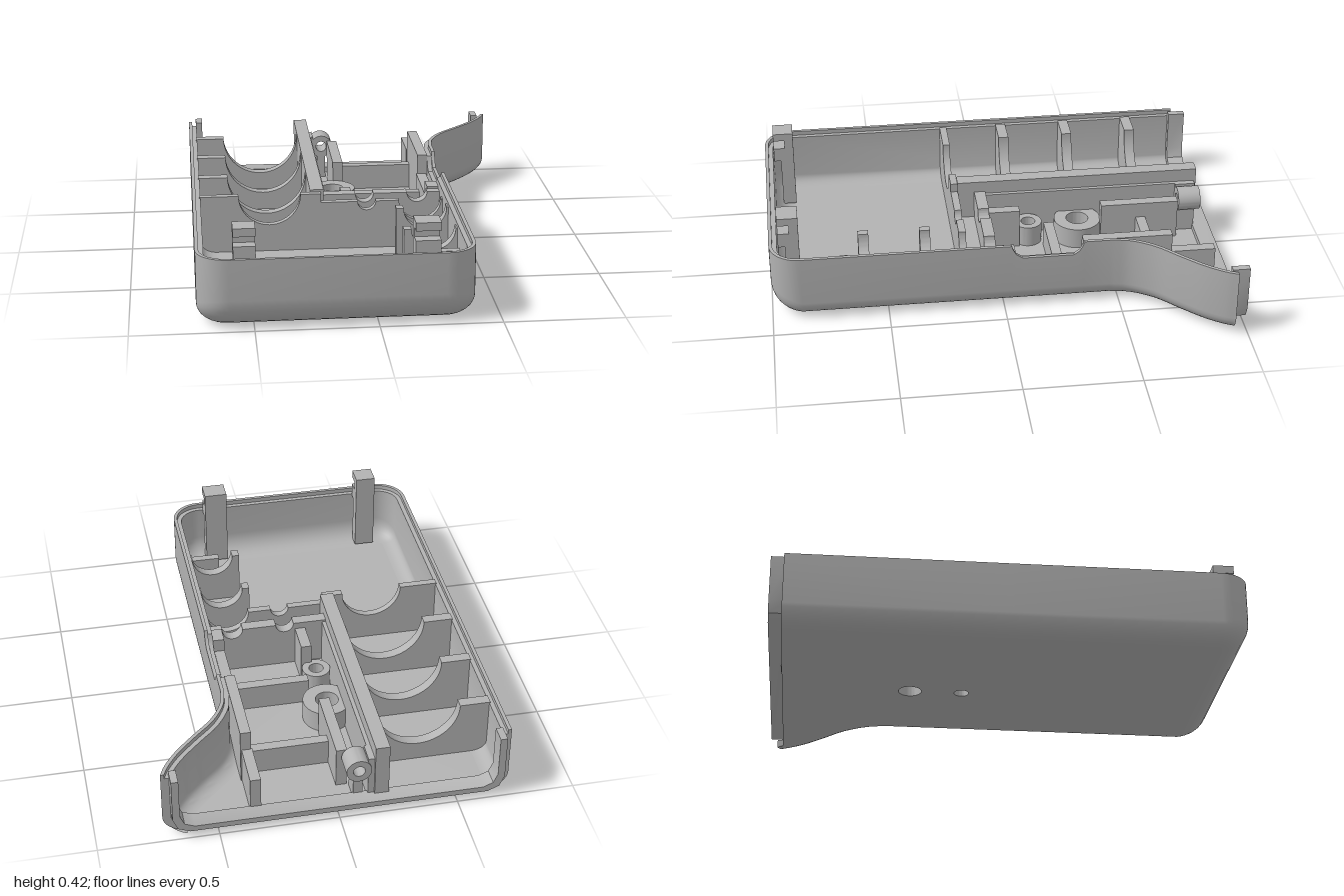
import * as THREE from 'three';
import { toCreasedNormals } from 'three/addons/utils/BufferGeometryUtils.js';

const H = 0.305, T = 0.035, BACK = -0.945;
const grey = new THREE.MeshStandardMaterial({ color: 0xb3b3b3 });
grey.name = 'grey plastic';

// Plan outline from back left, round the front, to the flared back right: [x, z, wall top]
function outline() {
  const pts = [], r = 0.13;
  const add = (x, z, top = H) => pts.push({ x, z, top });
  add(-0.73, BACK); add(-0.73, 0);
  for (let i = 0; i <= 10; i++) {
    const a = i / 10 * Math.PI / 2;
    add(-0.73 + r - r * Math.cos(a), 1 - r + r * Math.sin(a));
  }
  for (let i = 0; i <= 10; i++) {
    const a = i / 10 * Math.PI / 2;
    add(0.4 - r + r * Math.sin(a), 1 - r + r * Math.cos(a));
  }
  // finger notch in the right-hand wall
  add(0.4, -0.03); add(0.4, -0.037, 0.285); add(0.4, -0.05, 0.262); add(0.4, -0.08, 0.243);
  add(0.4, -0.3, 0.243); add(0.4, -0.325, 0.262); add(0.4, -0.338, 0.285); add(0.4, -0.345);
  // flare
  const flare = new THREE.CatmullRomCurve3([[0.4, -0.46], [0.415, -0.54], [0.47, -0.635], [0.56, -0.725],
    [0.65, -0.82], [0.705, -0.9], [0.725, BACK]].map(([x, z]) => new THREE.Vector3(x, 0, z)));
  for (const p of flare.getPoints(24)) add(p.x, p.z);
  return pts;
}

// Wall section as [inset, height]
function section(a, b, top) {
  const out = [], n = 8;
  for (let k = 0; k <= n; k++) {
    const t = k / n * Math.PI / 2;
    out.push([a * (1 - Math.sin(t)), b * (1 - Math.cos(t))]);
  }
  out.push([0, top], [0.015, top], [0.015, top - 0.02], [T, top - 0.02]);
  for (let k = n; k >= 0; k--) {
    const t = k / n * Math.PI / 2;
    out.push([T + (a - T) * (1 - Math.sin(t)), T + (b - T) * (1 - Math.cos(t))]);
  }
  return out;
}

function shellParts() {
  const path = outline(), pos = [], idx = [], floor = [];
  const last = path.length - 1;
  let m = 0;
  path.forEach((p, i) => {
    const a = path[Math.max(i - 1, 0)], b = path[Math.min(i + 1, last)];
    const unit = (u, v) => new THREE.Vector2(v.z - u.z, u.x - v.x).normalize();
    const inward = i === 0 ? new THREE.Vector2(1, 0) : i === last ? new THREE.Vector2(-1, 0)
      : unit(a, p).add(unit(p, b)).normalize();
    const front = p.z > 0.5 ? Math.max(0, -inward.y) : 0;
    const sec = section(0.1 + 0.025 * front, 0.08 + 0.05 * front, p.top);
    m = sec.length;
    for (const [d, y] of sec) pos.push(p.x + inward.x * d, y, p.z + inward.y * d);
    floor.push(new THREE.Vector2(p.x + inward.x * sec[0][0], -(p.z + inward.y * sec[0][0])));
  });
  for (let i = 0; i < last; i++) for (let j = 0; j < m - 1; j++) {
    const a = i * m + j, b = a + m;
    idx.push(a, b, a + 1, b, b + 1, a + 1);
  }
  // close the two cut ends at the back
  const flat = section(0.1, 0.08, H).map(([d, y]) => new THREE.Vector2(d, y));
  for (const f of THREE.ShapeUtils.triangulateShape(flat, [])) {
    const [p, q, r] = f;
    const ccw = THREE.ShapeUtils.area([flat[p], flat[q], flat[r]]) > 0;
    const [s, t] = ccw ? [r, q] : [q, r];
    const o = last * m;
    idx.push(p, s, t, o + p, o + t, o + s);
  }
  const wall = new THREE.BufferGeometry();
  wall.setAttribute('position', new THREE.Float32BufferAttribute(pos, 3));
  wall.setIndex(idx);
  // floor plate with two screw holes
  const shape = new THREE.Shape(floor);
  for (const [z, r] of [[-0.39, 0.05], [-0.165, 0.032]])
    shape.holes.push(new THREE.Path().absarc(-0.075, -z, r, 0, Math.PI * 2, true));
  const plate = new THREE.ExtrudeGeometry(shape, { depth: T, bevelEnabled: false, curveSegments: 24 });
  plate.rotateX(-Math.PI / 2);
  return [wall, plate];
}

export function createModel() {
  const group = new THREE.Group();
  const add = (name, geo) => {
    const mesh = new THREE.Mesh(toCreasedNormals(geo, 0.5), grey);
    mesh.name = name;
    group.add(mesh);
  };
  const box = (name, x0, x1, y0, y1, z0, z1) =>
    add(name, new THREE.BoxGeometry(x1 - x0, y1 - y0, z1 - z0)
      .translate((x0 + x1) / 2, (y0 + y1) / 2, (z0 + z1) / 2));
  const extrudeZ = (name, shape, z0, z1) =>
    add(name, new THREE.ExtrudeGeometry(shape, { depth: z1 - z0, bevelEnabled: false, curveSegments: 20 })
      .translate(0, 0, z0));
  // upright rib across x with half-round cutouts [centre, radius] in its top edge
  const rib = (name, x0, x1, z0, z1, h, cuts) => {
    const s = new THREE.Shape();
    s.moveTo(x0, 0.03); s.lineTo(x1, 0.03); s.lineTo(x1, h);
    for (const [c, r] of [...cuts].reverse()) {
      s.lineTo(c + r, h);
      s.absarc(c, h, r, 0, -Math.PI, true);
    }
    s.lineTo(x0, h);
    extrudeZ(name, s, z0, z1);
  };

  const [wall, plate] = shellParts();
  add('outerWall', wall);
  add('floor', plate);

  // U-shaped tongue at the open back
  const tongue = new THREE.Shape();
  const u = (l, r, y, c, first) => {
    const p = [[l, H], [l, y + c], [l + c * 0.3, y + c * 0.3], [l + c, y],
      [r - c, y], [r - c * 0.3, y + c * 0.3], [r, y + c], [r, H]];
    if (!first) p.reverse();
    p.forEach(([x, yy], i) => (first && i === 0 ? tongue.moveTo(x, yy) : tongue.lineTo(x, yy)));
  };
  u(-0.697, 0.69, 0.035, 0.07, true);
  u(-0.667, 0.66, 0.06, 0.06, false);
  extrudeZ('backTongue', tongue, -1, -0.925);

  // cell cradle ribs on the left of the plan
  for (const z of [-0.715, -0.415, -0.115])
    rib('cradleRib', -0.7, -0.21, z - 0.023, z + 0.023, 0.29, [[-0.395, 0.174]]);
  rib('cradleEndRib', -0.7, -0.17, 0.143, 0.175, 0.29, [[-0.395, 0.135]]);

  // long divider with side ledge
  box('divider', -0.217, -0.157, 0.03, 0.3, -0.95, 0.145);
  box('dividerLedge', -0.158, -0.14, 0.03, 0.24, -0.86, 0.03);

  // horizontal screw boss at the back
  const ring = new THREE.Shape().absarc(-0.09, 0.19, 0.053, 0, Math.PI * 2);
  ring.holes.push(new THREE.Path().absarc(-0.09, 0.19, 0.025, 0, Math.PI * 2, true));
  extrudeZ('backBoss', ring, -0.95, -0.85);
  box('backBossWeb', -0.16, -0.13, 0.03, 0.24, -0.94, -0.85);
  box('backBossFoot', -0.11, -0.07, 0.03, 0.15, -0.93, -0.85);

  // inner rails and cross ribs of the central bay
  box('innerRail', -0.063, -0.017, 0.03, 0.22, -0.84, -0.49);
  box('innerRail', -0.063, -0.017, 0.03, 0.22, -0.12, 0.03);
  box('sideRail', 0.315, 0.36, 0.03, 0.2, -0.93, -0.73);
  box('sideRail', 0.32, 0.365, 0.03, 0.29, -0.735, -0.345);
  box('sideRail', 0.315, 0.36, 0.03, 0.2, -0.35, -0.05);
  box('sideRail', 0.315, 0.365, 0.03, 0.26, -0.05, 0.03);
  for (const z of [-0.67, -0.25])
    box('crossRib', -0.02, 0.32, 0.03, 0.15, z - 0.022, z + 0.022);

  // vertical screw bosses around the floor holes
  for (const [z, r, hole, h] of [[-0.39, 0.105, 0.05, 0.13], [-0.165, 0.062, 0.032, 0.13]]) {
    const s = new THREE.Shape().absarc(-0.075, -z, r, 0, Math.PI * 2);
    s.holes.push(new THREE.Path().absarc(-0.075, -z, hole, 0, Math.PI * 2, true));
    add('floorBoss', new THREE.ExtrudeGeometry(s, { depth: h - 0.03, bevelEnabled: false, curveSegments: 24 })
      .rotateX(-Math.PI / 2).translate(0, 0.03, 0));
  }

  // cable ribs and small cradles along the right-hand wall
  box('cableStep', -0.175, 0.365, 0.03, 0.12, 0.07, 0.143);
  rib('cableRib', -0.175, 0.368, 0.02, 0.07, 0.25, [[0.03, 0.04], [0.265, 0.045]]);
  rib('cableRib', -0.175, 0.368, 0.143, 0.175, 0.25, [[0.03, 0.04], [0.265, 0.093]]);
  for (const z of [0.323, 0.592])
    rib('smallCradle', 0.14, 0.368, z - 0.023, z + 0.023, 0.27, [[0.265, 0.093]]);
  box('stopRib', 0.22, 0.368, 0.035, 0.2, 0.665, 0.7);

  // snap hooks standing up inside the front wall
  for (const [x0, x1] of [[-0.58, -0.49], [0.145, 0.248]]) {
    box('hookBase', x0, x1, 0.05, 0.3, 0.87, 0.93);
    box('hookSill', x0, x1, 0.28, 0.345, 0.87, 0.96);
    box('hookStem', x0, x1, 0.34, 0.39, 0.87, 0.91);
    box('hookTip', x0, x1, 0.385, 0.42, 0.87, 0.96);
  }
  return group;
}
